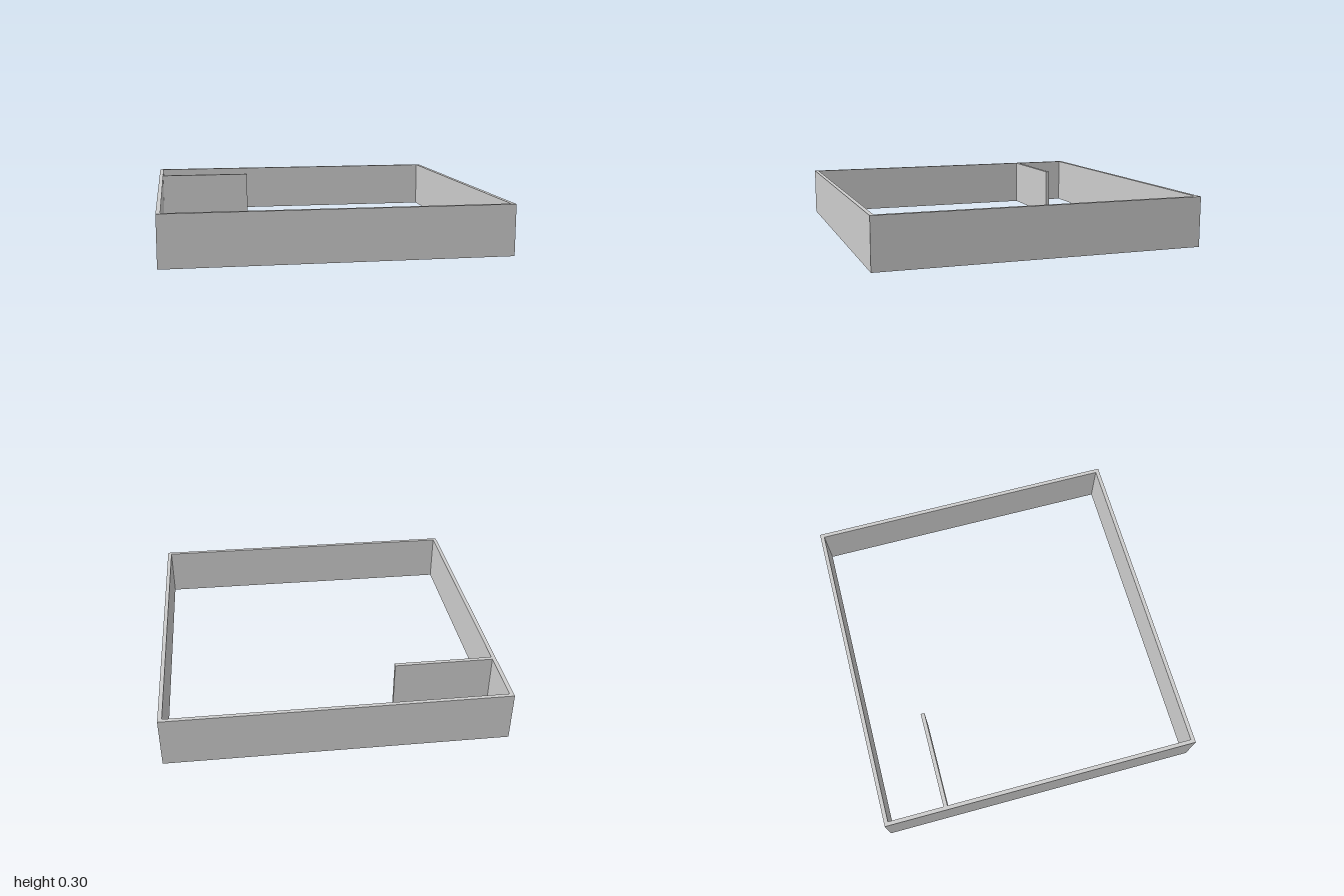
import * as THREE from 'three';

const HEIGHT = 0.3;
const THICK = 0.024;
const HALF_X = 1;
const HALF_Z = 0.977;

// Closed rectangle centred on the origin
function rectangle(PathType, hx, hz) {
  return new PathType([
    new THREE.Vector2(-hx, -hz),
    new THREE.Vector2(hx, -hz),
    new THREE.Vector2(hx, hz),
    new THREE.Vector2(-hx, hz),
  ]);
}

export function createModel() {
  const model = new THREE.Group();
  model.name = 'walledEnclosure';
  const material = new THREE.MeshStandardMaterial({ color: 0xcccccc });

  // Four outer walls as one mitre-free ring, extruded upwards
  const plan = rectangle(THREE.Shape, HALF_X, HALF_Z);
  plan.holes.push(rectangle(THREE.Path, HALF_X - THICK, HALF_Z - THICK));
  const ring = new THREE.ExtrudeGeometry(plan, { depth: HEIGHT, bevelEnabled: false });
  ring.rotateX(-Math.PI / 2);
  const outerWalls = new THREE.Mesh(ring, material);
  outerWalls.name = 'outerWalls';
  model.add(outerWalls);

  // Short partition reaching inwards from the right wall, near the back
  const start = -HALF_X + THICK;
  const end = -0.384;
  const partition = new THREE.Mesh(new THREE.BoxGeometry(end - start, HEIGHT, THICK), material);
  partition.name = 'partitionWall';
  partition.position.set((start + end) / 2, HEIGHT / 2, -0.6);
  model.add(partition);

  return model;
}
